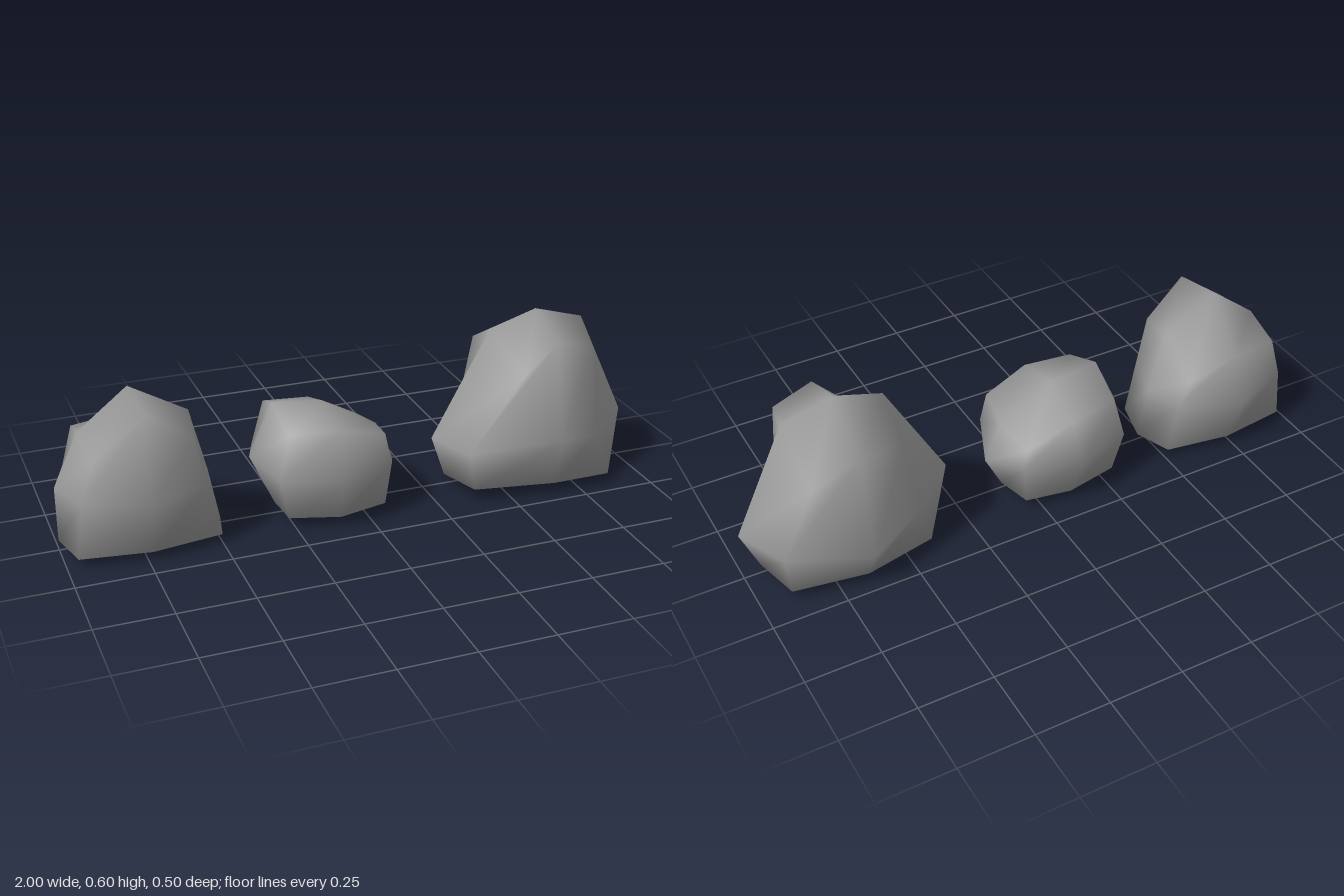
import * as THREE from 'three';
import { mergeVertices } from 'three/addons/utils/BufferGeometryUtils.js';

// Directions (sign pairs) in the order the outlines are listed
const RING = [[-1, 0], [-1, 1], [0, 1], [1, 1], [1, 0], [1, -1], [0, -1], [-1, -1]];
const PLAN = [[-1, -1], [0, -1], [1, -1], [1, 1], [0, 1], [-1, 1]];
const SIDE = [[1, 1], [1, -1], [-1, -1], [-1, 1]];

// A boulder is a rounded cube cut 2 x 2 per face. Its outlines set the face
// centres and edge middles; corners not given are blended from their three edges.
function boulder(name, material, { front, plan, side, midY, faceY, corners }) {
  const points = {};
  const key = (x, y, z) => `${x},${y},${z}`;
  RING.forEach(([x, y], i) => { points[key(x, y, 0)] = [front[i][0], front[i][1], 0]; });
  PLAN.forEach(([x, z], i) => {
    const y = x !== 0 ? midY : z > 0 ? faceY[0] : faceY[1];
    points[key(x, 0, z)] = [plan[i][0], y, plan[i][1]];
  });
  const midX = (front[2][0] + front[6][0]) / 2;
  SIDE.forEach(([y, z], i) => { points[key(0, y, z)] = [midX, side[i][0], side[i][1]]; });

  const centre = [midX, midY, 0];
  for (const x of [-1, 1]) for (const y of [-1, 1]) for (const z of [-1, 1]) {
    const edges = [points[key(x, y, 0)], points[key(x, 0, z)], points[key(0, y, z)]];
    points[key(x, y, z)] = corners[key(x, y, z)] ??
      centre.map((c, a) => c + 0.45 * edges.reduce((sum, e) => sum + e[a] - c, 0));
  }

  let geometry = new THREE.BoxGeometry(2, 2, 2, 2, 2, 2);
  geometry.deleteAttribute('normal');
  geometry.deleteAttribute('uv');
  geometry = mergeVertices(geometry);
  geometry.clearGroups();
  const pos = geometry.attributes.position;
  for (let i = 0; i < pos.count; i++) {
    const k = [pos.getX(i), pos.getY(i), pos.getZ(i)].map((v) => Math.round(v) + 0);
    pos.setXYZ(i, ...points[key(...k)]);
  }
  geometry.computeVertexNormals();
  const mesh = new THREE.Mesh(geometry, material);
  mesh.name = name;
  return mesh;
}

export function createModel() {
  const stone = new THREE.MeshStandardMaterial({ color: 0x9b9b9b });
  stone.name = 'grey stone';
  const group = new THREE.Group();
  group.name = 'boulders';

  // Tall wide boulder
  group.add(boulder('largeBoulder', stone, {
    front: [[0.28, 0.18], [0.485, 0.55], [0.65, 0.6], [0.825, 0.55],
      [1, 0.18], [0.94, 0.03], [0.65, 0], [0.33, 0.035]],
    plan: [[0.45, -0.17], [0.65, -0.25], [0.92, -0.19], [0.8, 0.195], [0.65, 0.25], [0.335, 0.19]],
    side: [[0.54, 0.175], [0.49, -0.19], [0.02, -0.19], [0.04, 0.205]],
    midY: 0.19, faceY: [0.22, 0.14],
    corners: {
      '1,1,1': [0.79, 0.5, 0.16],
      '1,1,-1': [0.81, 0.4, -0.168],
      '-1,1,1': [0.54, 0.43, 0.16],
      '-1,1,-1': [0.5, 0.46, -0.165],
      '1,-1,1': [0.855, 0.04, 0.203],
    },
  }));

  // Small round boulder
  group.add(boulder('smallBoulder', stone, {
    front: [[-0.365, 0.22], [-0.285, 0.4], [-0.11, 0.38], [0.075, 0.27],
      [0.135, 0.14], [0.075, 0.02], [-0.1, 0], [-0.28, 0.035]],
    plan: [[-0.31, -0.155], [-0.115, -0.215], [0.075, -0.16], [0.075, 0.15], [-0.12, 0.225], [-0.31, 0.155]],
    side: [[0.345, 0.165], [0.325, -0.165], [0.03, -0.16], [0.03, 0.16]],
    midY: 0.19, faceY: [0.19, 0.19],
    corners: {
      '1,1,1': [0.055, 0.295, 0.14],
      '1,1,-1': [0.055, 0.25, -0.145],
      '-1,1,1': [-0.27, 0.345, 0.145],
      '-1,1,-1': [-0.27, 0.345, -0.145],
    },
  }));

  // Pointed boulder with a broad foot
  group.add(boulder('pointedBoulder', stone, {
    front: [[-1, 0.22], [-0.915, 0.4], [-0.75, 0.53], [-0.56, 0.42],
      [-0.505, 0.2], [-0.47, 0.02], [-0.72, 0], [-1, 0.035]],
    plan: [[-0.945, -0.15], [-0.75, -0.215], [-0.535, -0.145], [-0.55, 0.15], [-0.745, 0.225], [-0.945, 0.15]],
    side: [[0.5, 0.175], [0.37, -0.165], [0.03, -0.17], [0.03, 0.17]],
    midY: 0.22, faceY: [0.22, 0.2],
    corners: {
      '1,1,1': [-0.58, 0.39, 0.145],
      '1,1,-1': [-0.58, 0.29, -0.135],
      '-1,1,1': [-0.9, 0.36, 0.145],
      '-1,1,-1': [-0.91, 0.36, -0.14],
      '1,-1,1': [-0.5, 0.03, 0.135],
      '1,-1,-1': [-0.51, 0.03, -0.135],
      '-1,-1,1': [-0.965, 0.035, 0.145],
      '-1,-1,-1': [-0.965, 0.035, -0.145],
    },
  }));

  return group;
}
